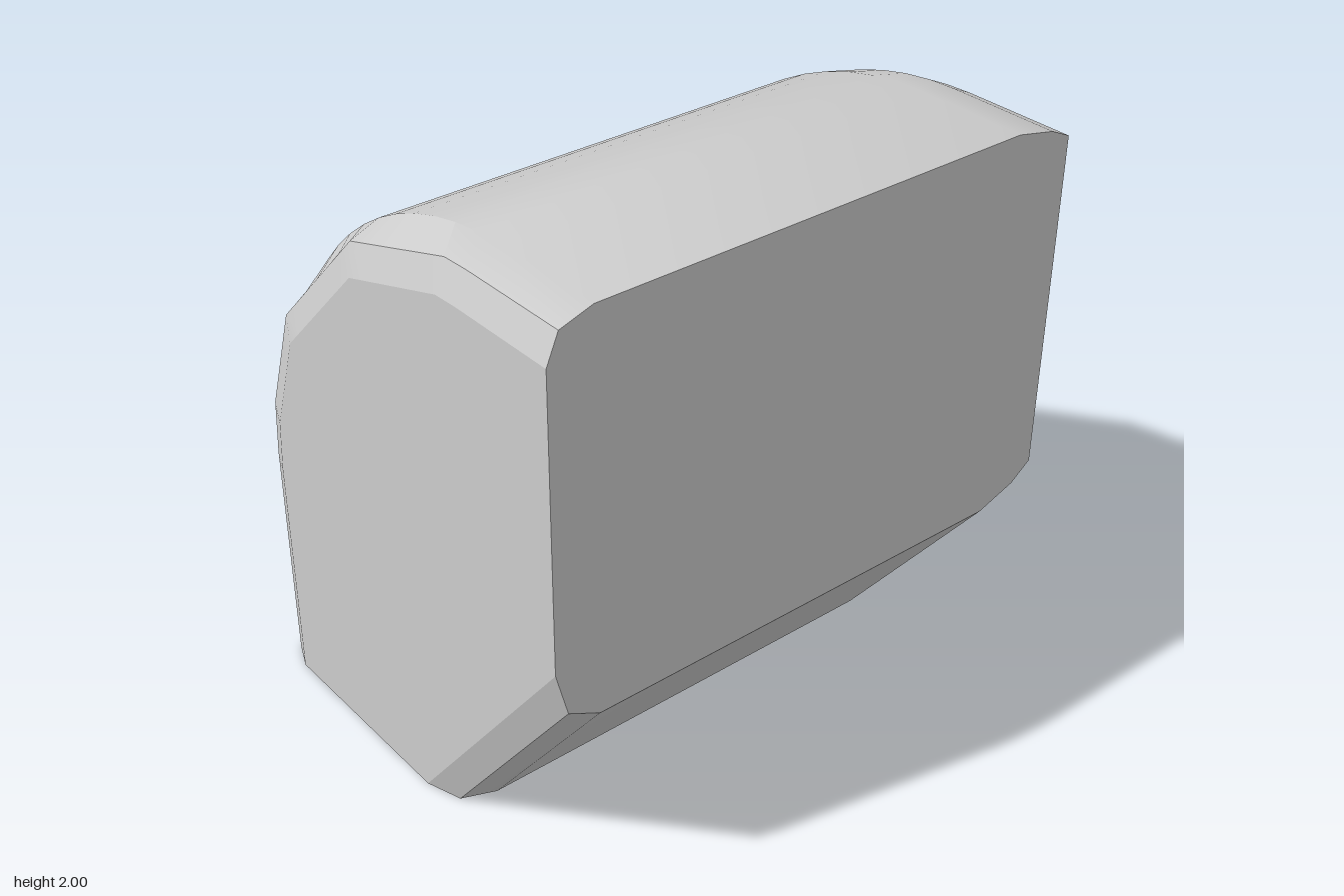
import * as THREE from 'three';
import { toCreasedNormals } from 'three/addons/utils/BufferGeometryUtils.js';

const STEPS = 18; // segments of the rounded back corner
const KNOTS = [0, 5, 30, 60, 80, 90]; // corners of the coarser arc at the ends

// Side profile as [z, y], drawn in by d everywhere but on the front and bottom.
function profile(d, coarse) {
  const at = (deg) => {
    const t = THREE.MathUtils.degToRad(deg);
    return [0.4 - (1.19 - d) * Math.sin(t), 0.8 + (1.2 - d) * Math.cos(t)];
  };
  const pts = [[0.79, 2 - d]];
  for (let i = 0; i <= STEPS; i++) {
    const deg = (90 * i) / STEPS;
    if (!coarse) { pts.push(at(deg)); continue; }
    const k = Math.max(1, KNOTS.findIndex((a) => a >= deg));
    const f = (deg - KNOTS[k - 1]) / (KNOTS[k] - KNOTS[k - 1]);
    const p = at(KNOTS[k - 1]), q = at(KNOTS[k]);
    pts.push([p[0] + (q[0] - p[0]) * f, p[1] + (q[1] - p[1]) * f]);
  }
  pts.push([-0.79 + d, 0], [0.25 - 1.27 * d, 0], [0.79, 0.69 + 1.62 * d]);
  return pts;
}

// Joins the profiles along x and closes both ends.
function loft(stations) {
  const rings = stations.map(([x, d, coarse]) => profile(d, coarse).map(([z, y]) => [x, y, z]));
  const n = rings[0].length, pos = [];
  const tri = (...corners) => corners.forEach((c) => pos.push(...c));
  for (let i = 0; i < rings.length - 1; i++) {
    for (let j = 0; j < n; j++) {
      const k = (j + 1) % n;
      const a = rings[i][j], b = rings[i][k], c = rings[i + 1][k], e = rings[i + 1][j];
      tri(a, c, b);
      tri(a, e, c);
    }
  }
  const first = rings[0], last = rings[rings.length - 1];
  for (let j = 0; j < n; j++) {
    const k = (j + 1) % n;
    tri([first[0][0], 1, 0.1], first[j], first[k]);
    tri([last[0][0], 1, 0.1], last[k], last[j]);
  }
  const geo = new THREE.BufferGeometry();
  geo.setAttribute('position', new THREE.Float32BufferAttribute(pos, 3));
  return toCreasedNormals(geo, 0.33);
}

export function createModel() {
  const group = new THREE.Group();
  group.name = 'roundedBlock';

  // Solid block with a rounded back, a slanted underside and bevelled ends
  const body = new THREE.Mesh(
    loft([
      [-0.95, 0.13, true],
      [-0.91, 0.035, true],
      [-0.8, 0, false],
      [0.73, 0, false],
      [0.87, 0.03, false],
      [0.945, 0.065, true],
    ]),
    new THREE.MeshStandardMaterial({ color: 0xcccccc })
  );
  body.name = 'body';
  group.add(body);
  return group;
}
